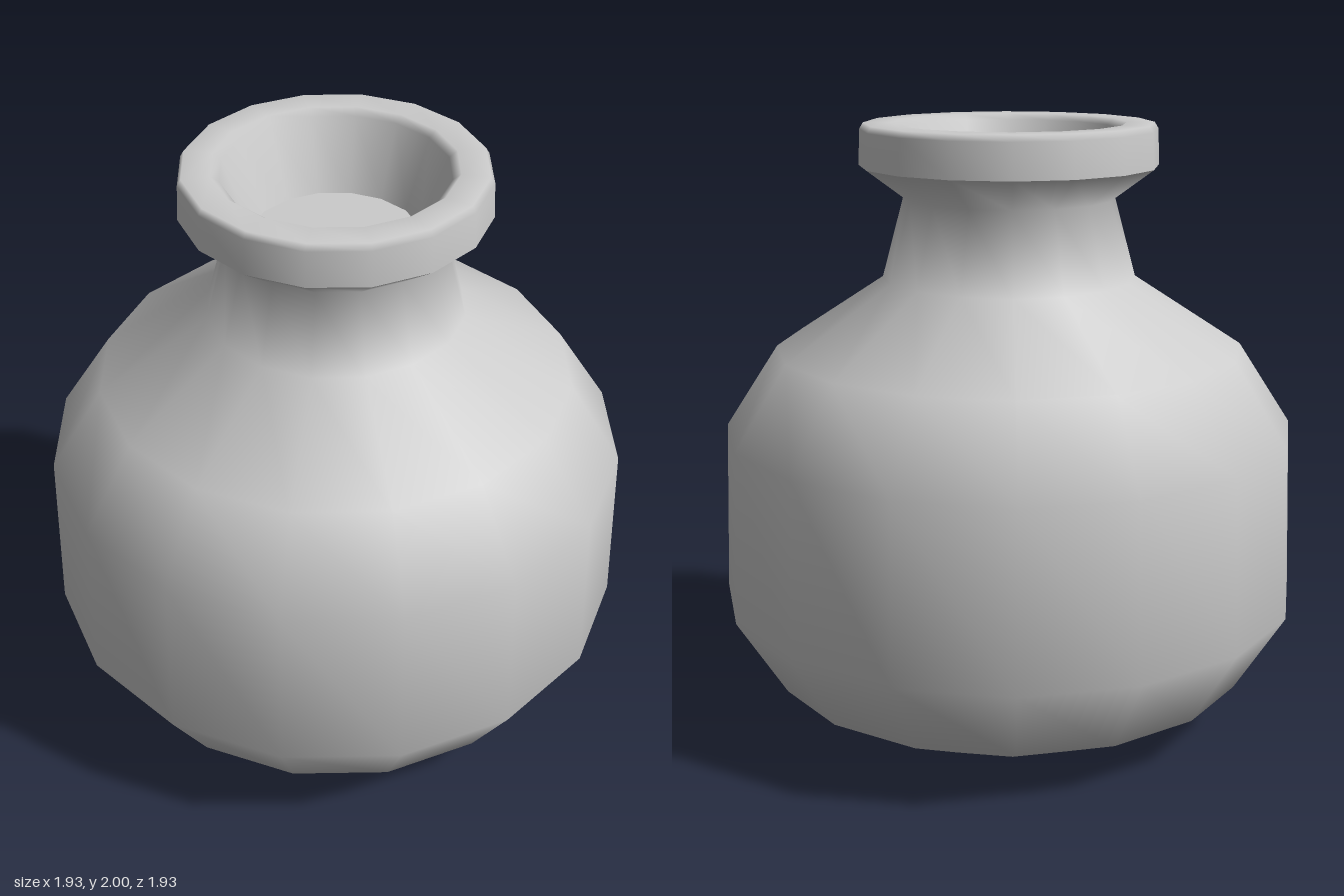
import * as THREE from 'three';

const SIDES = 16;

// Revolve a [radius, height] profile around the y axis
function turned(name, profile, material) {
  const points = profile.map(([r, y]) => new THREE.Vector2(r, y));
  const mesh = new THREE.Mesh(new THREE.LatheGeometry(points, SIDES), material);
  mesh.name = name;
  return mesh;
}

export function createModel() {
  const material = new THREE.MeshStandardMaterial({ color: 0xcccccc });
  const group = new THREE.Group();
  group.name = 'bottle';

  // Flat underside
  group.add(turned('base', [[0, 0], [0.47, 0]], material));

  // Round belly, shoulder, neck and flared collar
  group.add(turned('body', [
    [0.47, 0], [0.8, 0.165], [0.965, 0.43], [0.945, 1.0], [0.77, 1.27],
    [0.415, 1.5], [0.345, 1.76], [0.487, 1.865],
  ], material));

  // Collar side, rolled lip and inside wall of the mouth
  group.add(turned('rim', [
    [0.487, 1.865], [0.482, 1.98], [0.47, 2], [0.38, 2], [0.355, 1.98], [0.27, 1.75],
  ], material));

  // Shallow floor closing the mouth
  group.add(turned('mouthFloor', [[0.27, 1.75], [0, 1.75]], material));

  return group;
}
